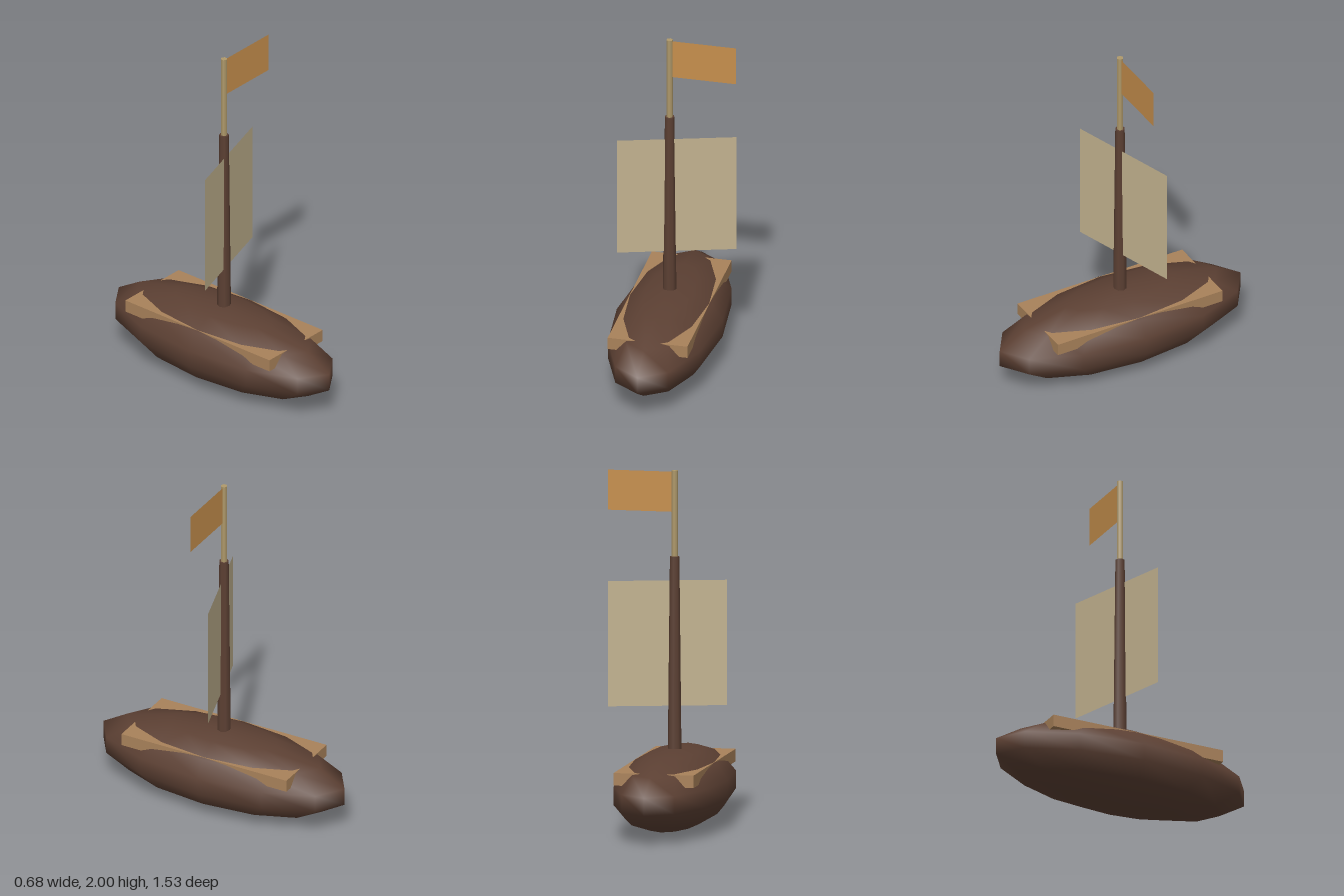
import * as THREE from 'three';

const AXIS_X = -0.04; // hull and mast centre line

function part(name, geometry, color, x, y, z = 0) {
  const material = new THREE.MeshStandardMaterial({ color });
  const mesh = new THREE.Mesh(geometry, material);
  mesh.name = name;
  mesh.position.set(x, y, z);
  return mesh;
}

// Thin upright cloth, seen from both sides
function cloth(name, width, height, color, x, y) {
  const mesh = part(name, new THREE.PlaneGeometry(width, height), color, x, y);
  mesh.material.side = THREE.DoubleSide;
  return mesh;
}

// Upright pole between two heights
function pole(name, rTop, rBottom, y0, y1, sides, color) {
  return part(name, new THREE.CylinderGeometry(rTop, rBottom, y1 - y0, sides), color, AXIS_X, (y0 + y1) / 2);
}

export function createModel() {
  const model = new THREE.Group();
  model.name = 'sailboat';

  // Hull: stretched low-poly ellipsoid
  const hull = part('hull', new THREE.SphereGeometry(1, 12, 7), 0x5c4033, AXIS_X, 0.228);
  hull.scale.set(0.308, 0.224, 0.784);
  model.add(hull);

  // Deck: slab whose edges and corners stick out of the hull
  model.add(part('deck', new THREE.BoxGeometry(0.453, 0.07, 1.046), 0xa9825a, AXIS_X, 0.342));

  // Tapered mast with a slim flagpole on top
  model.add(pole('mast', 0.027, 0.04, 0.32, 1.52, 8, 0x5c4033));
  model.add(pole('flagpole', 0.0185, 0.0185, 1.48, 2, 6, 0xb09a6b));

  // Square sail, turned a little about the mast
  const sail = cloth('sail', 0.66, 0.7, 0xc2b28f, 0, 1.034);
  sail.rotation.y = 0.3;
  model.add(sail);

  // Flag flying to one side
  model.add(cloth('flag', 0.37, 0.224, 0xc68f4c, 0.152, 1.88));

  return model;
}
